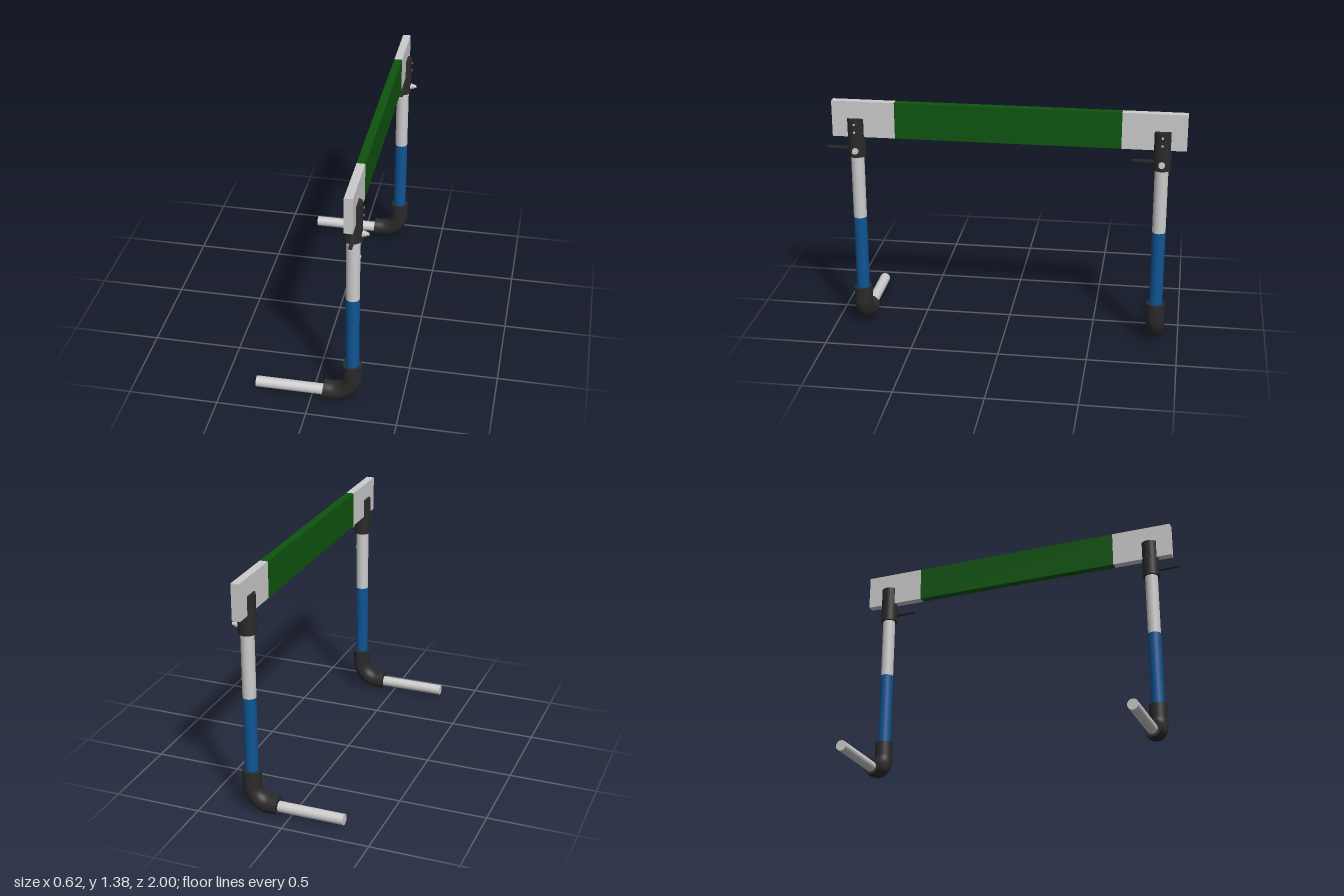
import * as THREE from 'three';
import { toCreasedNormals } from 'three/addons/utils/BufferGeometryUtils.js';

const mat = (color) => new THREE.MeshStandardMaterial({ color });
const LEG_X = 0.228;    // axis of both uprights
const MID_Z = -0.0175;  // middle of the crossbar

export function createModel() {
  const grey = mat(0xcccccc), black = mat(0x2a2a2a), blue = mat(0x0f5494), green = mat(0x0e540f);
  const model = new THREE.Group();

  const add = (parent, name, geometry, material, x = 0, y = 0, z = 0) => {
    const mesh = new THREE.Mesh(geometry, material);
    mesh.name = name;
    mesh.position.set(x, y, z);
    parent.add(mesh);
    return mesh;
  };
  // upright cylinder between two heights
  const upright = (parent, name, r, y0, y1, material) =>
    add(parent, name, new THREE.CylinderGeometry(r, r, y1 - y0, 40), material, 0, (y0 + y1) / 2, 0);
  // cylinder along x between two positions
  const along = (parent, name, r, x0, x1, y, material, sides = 20) =>
    add(parent, name, new THREE.CylinderGeometry(r, r, x1 - x0, sides).rotateZ(Math.PI / 2),
      material, (x0 + x1) / 2, y, 0);

  // crossbar: grey ends, green middle
  const bar = new THREE.Group();
  bar.name = 'crossbar';
  bar.position.set(0.226, 1.2775, MID_Z);
  model.add(bar);
  add(bar, 'barMiddle', new THREE.BoxGeometry(0.046, 0.205, 1.256), green);
  for (const s of [1, -1]) {
    add(bar, 'barEnd', new THREE.BoxGeometry(0.046, 0.205, 0.354), grey, 0, 0, s * 0.805);
  }

  // elbow centre line: down the upright, round the bend, out to the foot
  const elbowPath = new THREE.CurvePath();
  const v = (x, y) => new THREE.Vector3(x, y, 0);
  const k = 0.11 * 0.5523;
  elbowPath.add(new THREE.LineCurve3(v(0, 0.25), v(0, 0.166)));
  elbowPath.add(new THREE.CubicBezierCurve3(v(0, 0.166), v(0, 0.166 - k), v(-0.11 + k, 0.056), v(-0.11, 0.056)));
  elbowPath.add(new THREE.LineCurve3(v(-0.11, 0.056), v(-0.159, 0.058)));
  const elbowGeometry = new THREE.TubeGeometry(elbowPath, 48, 0.053, 40, false);

  // clamp cheek: circle segment on one side of the slot
  const slot = 0.021, r = 0.05, a = Math.acos(slot / r);
  const cheekShape = new THREE.Shape();
  cheekShape.absarc(0, 0, r, -a, a, false);
  const cheekGeometry = toCreasedNormals(
    new THREE.ExtrudeGeometry(cheekShape, { depth: 0.11, bevelEnabled: false, curveSegments: 24 })
      .rotateX(-Math.PI / 2), 0.6);

  // lever profile in z and y: thick root, thin tip
  const leverShape = new THREE.Shape([[0.03, -0.009], [0.09, -0.006], [0.168, -0.004],
    [0.168, 0.003], [0.09, 0.004], [0.03, 0.009]].map(([z, y]) => new THREE.Vector2(z, y)));
  const leverGeometry = new THREE.ExtrudeGeometry(leverShape, { depth: 0.02, bevelEnabled: false })
    .rotateY(-Math.PI / 2);

  for (const s of [1, -1]) {
    const leg = new THREE.Group();
    leg.name = s > 0 ? 'frontLeg' : 'backLeg';
    leg.position.set(LEG_X, 0, MID_Z + s * 0.85);
    model.add(leg);

    // telescoping upright
    upright(leg, 'lowerTube', 0.0375, 0.2, 0.69, blue);
    upright(leg, 'upperTube', 0.0375, 0.69, 1.08, grey);
    if (s > 0) along(leg, 'lockButton', 0.01, 0.03, 0.041, 0.955, grey);

    // elbow with closed ends, and the foot
    add(leg, 'elbow', elbowGeometry, black);
    add(leg, 'elbowTopCap', new THREE.CircleGeometry(0.053, 40).rotateX(-Math.PI / 2), black, 0, 0.25, 0);
    add(leg, 'elbowFootCap', new THREE.CircleGeometry(0.053, 40).rotateY(-Math.PI / 2).rotateZ(-0.041),
      black, -0.159, 0.058, 0);
    along(leg, 'foot', 0.031, -0.541, -0.12, 0.051, grey, 32);

    // slotted clamp holding the crossbar
    upright(leg, 'clampSleeve', r, 1.06, 1.175, black);
    add(leg, 'clampCheek', cheekGeometry, black, 0, 1.172, 0);
    add(leg, 'clampCheek', cheekGeometry, black, 0, 1.172, 0).rotation.y = Math.PI;
    for (const y of [1.255, 1.21]) {
      along(leg, 'clampScrew', 0.012, 0.04, 0.055, y, black);
      along(leg, 'screwSocket', 0.007, 0.045, 0.056, y, grey, 6);
    }

    // tightening bolt and lever
    along(leg, 'boltWasher', 0.018, 0.04, 0.057, 1.1, grey);
    along(leg, 'boltNut', 0.015, 0.057, 0.07, 1.1, grey, 6);
    along(leg, 'boltEnd', 0.009, 0.07, 0.083, 1.1, grey);
    add(leg, 'lever', leverGeometry, black, 0.024, 1.11, 0);
  }
  return model;
}
